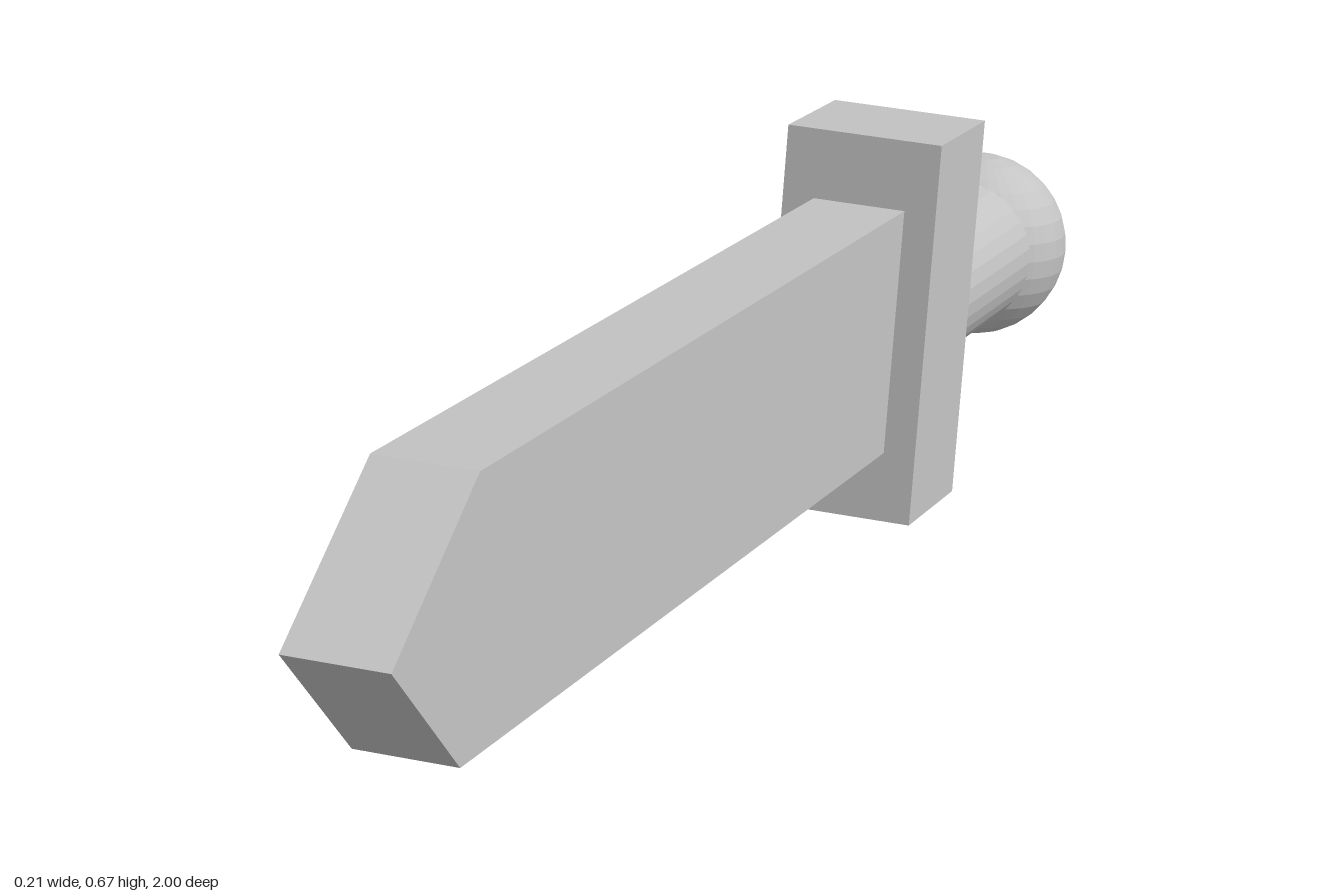
import * as THREE from 'three';

export function createModel() {
  const grey = new THREE.MeshStandardMaterial({ color: 0xc4c4c4, flatShading: true });
  grey.name = 'plainGrey';

  // The sword is built along +z around the guard centre, then tilted tip-up
  const sword = new THREE.Group();
  sword.name = 'sword';
  const add = (name, geometry, z = 0) => {
    const mesh = new THREE.Mesh(geometry, grey);
    mesh.name = name;
    mesh.position.z = z;
    sword.add(mesh);
  };

  // Flat slab blade with a pointed end
  const outline = new THREE.Shape([
    [0, -0.134], [1.353, -0.134], [1.536, 0], [1.353, 0.134], [0, 0.134],
  ].map(([x, y]) => new THREE.Vector2(x, y)));
  const blade = new THREE.ExtrudeGeometry(outline, { depth: 0.102, bevelEnabled: false });
  blade.translate(0, 0, -0.051).rotateY(-Math.PI / 2);
  add('blade', blade);

  // Crossguard block
  add('guard', new THREE.BoxGeometry(0.172, 0.42, 0.168));

  // Round grip running from the guard into the pommel
  add('grip', new THREE.CylinderGeometry(0.083, 0.083, 0.38, 32).rotateX(Math.PI / 2), -0.19);

  // Ball pommel
  add('pommel', new THREE.SphereGeometry(0.105, 32, 16), -0.411);

  sword.rotation.x = -THREE.MathUtils.degToRad(13.4);
  sword.position.set(0, 0.224, -0.494);

  const model = new THREE.Group();
  model.name = 'model';
  model.add(sword);
  return model;
}
